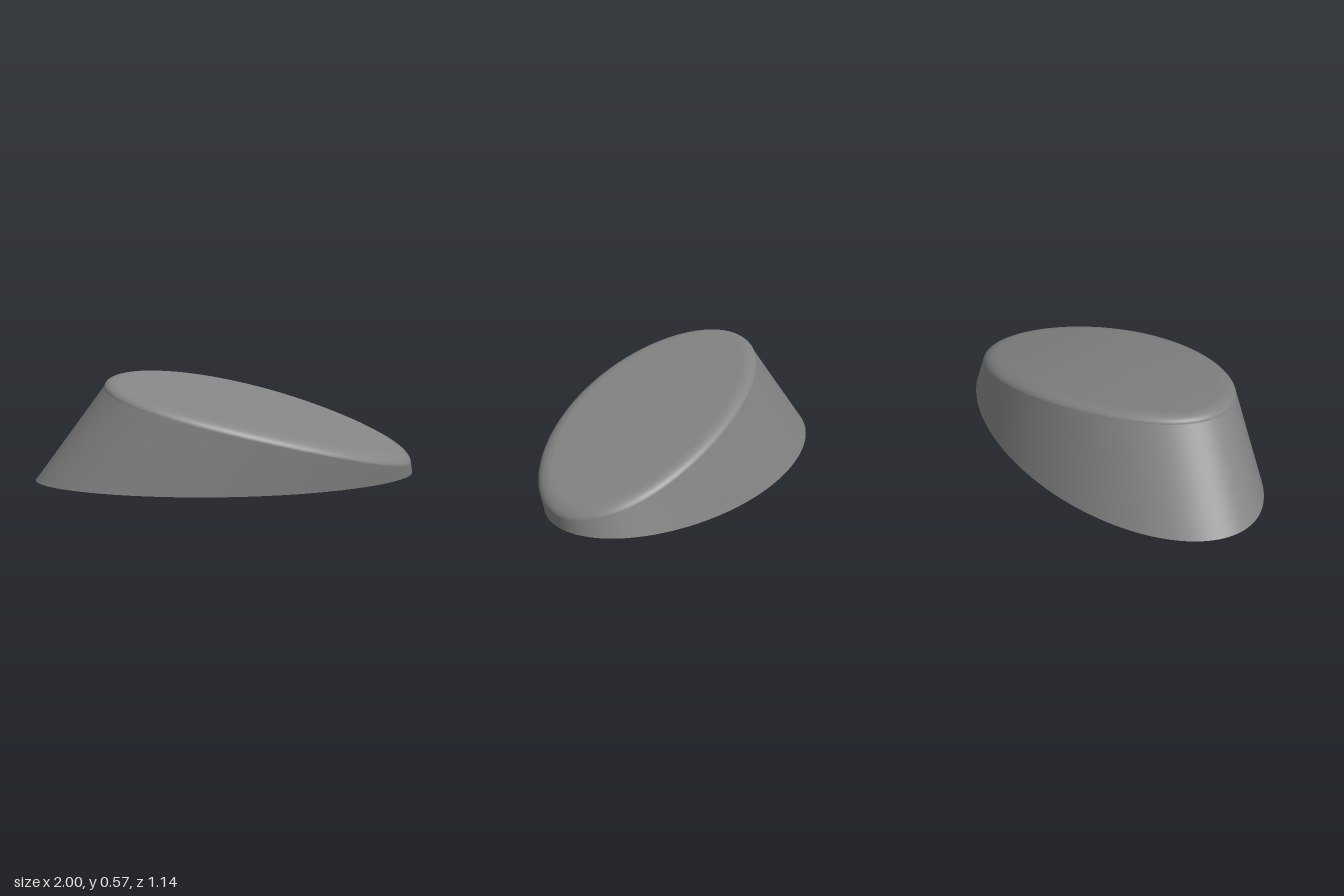
import * as THREE from 'three';

const SEG = 128;
const SLOPE_X = -0.247, SLOPE_Z = -0.17, BOW = 0.066;

// Skewed ellipse outline: centre, half extents and shear, with a height rule y(x, z)
function ring(cx, cz, a, b, shear, height) {
  const points = [];
  for (let j = 0; j < SEG; j++) {
    const t = (j / SEG) * Math.PI * 2;
    const x = cx + a * Math.cos(t);
    const z = cz + shear * a * Math.cos(t) + b * Math.sin(t);
    points.push(x, height(x, z), z);
  }
  return points;
}

// Skin consecutive rings with smooth normals
function loft(name, rings, material) {
  const index = [];
  for (let i = 0; i < rings.length - 1; i++) {
    for (let j = 0; j < SEG; j++) {
      const k = (j + 1) % SEG;
      const a = i * SEG + j, b = i * SEG + k, c = a + SEG, d = b + SEG;
      index.push(a, c, b, b, c, d);
    }
  }
  const geometry = new THREE.BufferGeometry();
  geometry.setAttribute('position', new THREE.Float32BufferAttribute(rings.flat(), 3));
  geometry.setIndex(index);
  geometry.computeVertexNormals();
  const mesh = new THREE.Mesh(geometry, material);
  mesh.name = name;
  return mesh;
}

// Gently bowed underside outline
const baseRing = (s) =>
  ring(0, -0.018, s, 0.547 * s, 0.092, (x) => 0.003 + 0.016 * x * x);

// Outline on the sloping, slightly arched top surface, h is the height at its centre
const slopedRing = (cx, cz, a, b, h) =>
  ring(cx, cz, a, b, 0.04, (x, z) =>
    h + SLOPE_X * (x - cx) + SLOPE_Z * (z - cz) - BOW * (x - cx) ** 2);

export function createModel() {
  const group = new THREE.Group();
  group.name = 'slantedOvalCap';
  const material = new THREE.MeshStandardMaterial({ color: 0x858585 });

  const CX = 0.158, CZ = 0.07, A = 0.826, B = 0.498, H = 0.346;

  // Leaning side wall running into a rounded shoulder
  const shell = [baseRing(1)];
  const STEPS = 10, INSET = 0.08, RISE = 0.047;
  for (let i = 0; i <= STEPS; i++) {
    const f = (i / STEPS) * Math.PI / 2;
    const inset = INSET * (1 - Math.cos(f));
    shell.push(slopedRing(CX, CZ, A - inset, B - inset, H + RISE * Math.sin(f)));
  }
  // Arched sloping top
  for (const s of [0.97, 0.8, 0.6, 0.4, 0.2, 0]) {
    shell.push(slopedRing(CX, CZ, (A - INSET) * s, (B - INSET) * s, H + RISE));
  }
  group.add(loft('outerShell', shell, material));

  // Wide rim underneath
  group.add(loft('bottomRim', [baseRing(0.73), baseRing(1)], material));

  // Hollow inside, its ceiling following the top, blended into the wall
  const ceiling = (s, h) => slopedRing(0.11, 0.045, 0.6 * s, 0.36 * s, h);
  const cavity = [0, 0.3, 0.6, 0.9].map((s) => ceiling(s, 0.268));
  cavity.push(ceiling(0.96, 0.262), ceiling(1, 0.245), baseRing(0.73));
  group.add(loft('cavity', cavity, material));

  return group;
}
